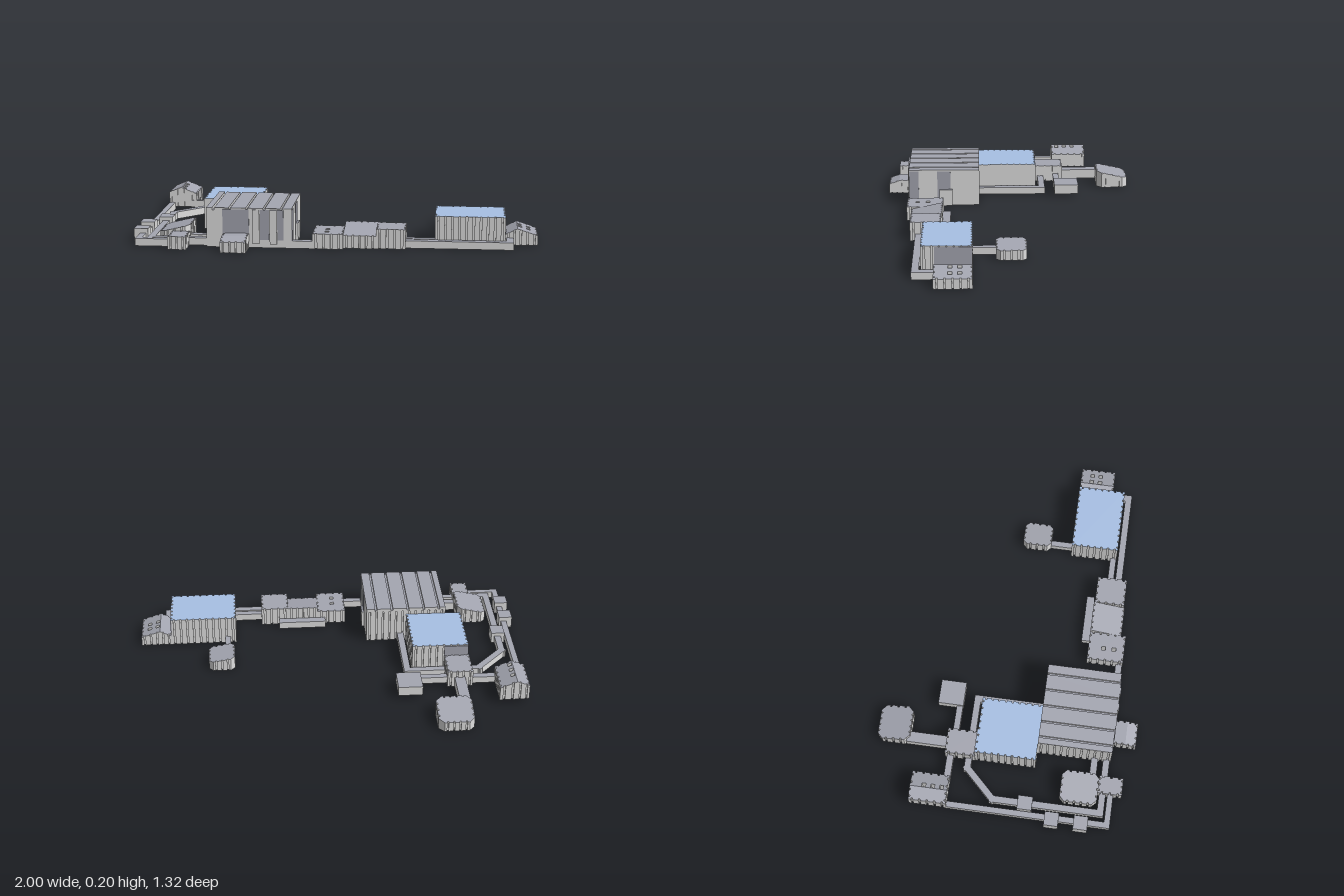
import * as THREE from 'three';

const mat = (name, color) => {
  const m = new THREE.MeshStandardMaterial({ color });
  m.name = name;
  return m;
};

export function createModel() {
  const group = new THREE.Group();
  const wall = mat('wall', 0xdfdfdf);
  const roof = mat('roof', 0xa4a6b1);
  const glass = mat('glass', 0xa8c0e4);
  const floor = mat('floor', 0xa4998b);

  // Plan outline with cut corners and vertical grooves on the chosen sides (s, e, n, w)
  function outline(x0, x1, z0, z1, cut, grooved) {
    const a = -z1, b = -z0, c = cut;
    const edges = [
      ['s', x0 + c, a, x1 - c, a], ['e', x1, a + c, x1, b - c],
      ['n', x1 - c, b, x0 + c, b], ['w', x0, b - c, x0, a + c],
    ];
    const pts = [];
    const add = (x, y) => pts.push(new THREE.Vector2(x, y));
    for (const [side, ax, ay, bx, by] of edges) {
      const len = Math.hypot(bx - ax, by - ay);
      const dx = (bx - ax) / len, dy = (by - ay) / len;
      add(ax, ay);
      if (grooved.includes(side)) {
        const n = Math.max(2, Math.round(len / 0.035)), p = len / n, depth = 0.008;
        for (let i = 0; i < n; i++) {
          const s = (i + 0.38) * p, e = (i + 0.62) * p;
          add(ax + dx * s, ay + dy * s);
          add(ax + dx * s - dy * depth, ay + dy * s + dx * depth);
          add(ax + dx * e - dy * depth, ay + dy * e + dx * depth);
          add(ax + dx * e, ay + dy * e);
        }
      }
      if (c > 0) add(bx, by);
    }
    return new THREE.Shape(pts);
  }

  // Upright block; top is a height or a rule of (x, z); shafts are open square light wells at [x, z]
  function room(name, [x0, x1, z0, z1], y0, top, { cut = 0, sides = 'senw', cap = roof, shafts = [] } = {}) {
    const shape = outline(x0, x1, z0, z1, cut, sides);
    for (const [x, z] of shafts) {
      const r = 0.01;
      shape.holes.push(new THREE.Path([[-r, -r], [-r, r], [r, r], [r, -r]].map(([u, v]) => new THREE.Vector2(x + u, v - z))));
    }
    const geo = new THREE.ExtrudeGeometry(shape, { depth: 1, bevelEnabled: false });
    geo.rotateX(-Math.PI / 2);
    const p = geo.attributes.position;
    for (let i = 0; i < p.count; i++) {
      const h = typeof top === 'function' ? top(p.getX(i), p.getZ(i)) : top;
      p.setY(i, p.getY(i) > 0.5 ? h : y0);
    }
    geo.computeVertexNormals();
    // first half of the caps is the floor, second half the roof
    const [caps, walls] = geo.groups;
    const half = caps.count / 2;
    geo.clearGroups();
    geo.addGroup(0, half, 0);
    geo.addGroup(half, half, 1);
    geo.addGroup(walls.start, walls.count, 2);
    const mesh = new THREE.Mesh(geo, [floor, cap, wall]);
    mesh.name = name;
    group.add(mesh);
  }

  // Room with a ridge along z, light wells on the east slope
  function gable(name, [x0, x1, z0, z1], y0, ridge, top, shafts) {
    room(name + 'West', [x0, ridge, z0, z1], y0, top, { sides: 'snw' });
    room(name + 'East', [ridge, x1, z0, z1], y0, top, { sides: 'sen', shafts });
  }

  // Straight passages along a path of [x, z] points
  function corridor(name, pts, width, y0, y1) {
    for (let i = 0; i + 1 < pts.length; i++) {
      const [ax, az] = pts[i], [bx, bz] = pts[i + 1];
      const geo = new THREE.BoxGeometry(Math.hypot(bx - ax, bz - az) + width * 0.98, y1 - y0, width);
      const mesh = new THREE.Mesh(geo, [wall, wall, roof, floor, wall, wall]);
      mesh.position.set((ax + bx) / 2, (y0 + y1) / 2, (az + bz) / 2);
      mesh.rotation.y = -Math.atan2(bz - az, bx - ax);
      mesh.name = name;
      group.add(mesh);
    }
  }

  // Thin painted plate
  function plate(name, [x0, x1], [y0, y1], [z0, z1], m) {
    const mesh = new THREE.Mesh(new THREE.BoxGeometry(x1 - x0, y1 - y0, z1 - z0), m);
    mesh.position.set((x0 + x1) / 2, (y0 + y1) / 2, (z0 + z1) / 2);
    mesh.name = name;
    group.add(mesh);
  }

  // Main hall with long roof beams
  room('mainHall', [-0.62, -0.20, 0.165, 0.542], 0, 0.185, { sides: 'nw' });
  [[-0.62, -0.59], [-0.58, -0.51], [-0.50, -0.425], [-0.415, -0.34], [-0.33, -0.255], [-0.245, -0.20]]
    .forEach(([a, b]) => room('roofBeam', [a, b, 0.165, 0.542], 0.18, 0.197, { sides: '' }));
  plate('hallFrontPanel', [-0.54, -0.41], [0.06, 0.19], [0.54, 0.545], roof);
  plate('hallFrontSlit', [-0.355, -0.31], [0.04, 0.19], [0.54, 0.545], roof);
  plate('hallFrontSlit', [-0.27, -0.24], [0.04, 0.19], [0.54, 0.545], roof);
  for (const x of [-0.375, -0.29]) room('hallButtress', [x - 0.017, x + 0.017, 0.53, 0.549], 0.02, 0.19, { sides: '' });
  plate('hallSidePanel', [-0.203, -0.197], [0.035, 0.19], [0.49, 0.54], roof);
  plate('hallSidePanel', [-0.203, -0.197], [0.03, 0.19], [0.32, 0.39], roof);
  room('hallSideDoor', [-0.2, -0.187, 0.31, 0.38], 0, 0.09, { sides: '' });
  // entrance in front of the hall, with a sloping end
  room('entrance', [-0.535, -0.41, 0.54, 0.605], 0, 0.072, { sides: 'ew' });
  room('entranceEnd', [-0.535, -0.41, 0.605, 0.66], 0, (x, z) => 0.072 - (z - 0.605) * 0.35, { sides: 'sew' });

  // Glass-roofed halls
  room('glassHall', [-0.70, -0.41, -0.145, 0.165], 0, 0.16, { cap: glass, sides: 'enw' });
  plate('glassHallBackPanel', [-0.70, -0.575], [0.1, 0.155], [-0.149, -0.143], roof);
  room('glassHallEast', [0.495, 0.84, 0.20, 0.445], 0, 0.152, { cap: glass });
  plate('glassHallEastPanel', [0.837, 0.843], [0.05, 0.148], [0.20, 0.38], roof);

  // Back wing
  room('backLobby', [-0.705, -0.575, -0.30, -0.145], 0.01, 0.10);
  corridor('backCorridor', [[-0.638, -0.29], [-0.638, -0.48]], 0.055, 0.015, 0.065);
  room('backRoom', [-0.665, -0.485, -0.66, -0.49], 0, (x, z) => 0.09 + (z + 0.49) * 0.22, { cut: 0.028 });
  corridor('storeCorridor', [[-0.58, -0.263], [-0.43, -0.263]], 0.032, 0.02, 0.055);
  room('store', [-0.44, -0.315, -0.375, -0.245], 0.02, 0.07, { sides: '' });
  corridor('leftBackCorridor', [[-0.83, -0.272], [-0.70, -0.272]], 0.035, 0.02, 0.055);
  gable('farRoom', [-0.97, -0.82, -0.445, -0.255], 0.02, -0.905, (x) => 0.127 - Math.abs(x + 0.905) * 0.4,
    [[-0.892, -0.375], [-0.892, -0.33], [-0.892, -0.285]]);

  // Ring passage around the glass hall
  corridor('ringCorridor', [[-0.382, 0.16], [-0.382, -0.178], [-0.755, -0.178], [-0.898, -0.03], [-0.898, 0.52], [-0.62, 0.52]],
    0.034, 0.005, 0.042);
  room('ringJunction', [-0.935, -0.865, 0.10, 0.175], 0, 0.06, { sides: '' });
  // outer passage along the left edge
  corridor('outerCorridor', [[-0.955, -0.25], [-0.955, 0.56], [-0.80, 0.56]], 0.03, 0.005, 0.042);
  for (const z of [0.28, 0.428]) room('outerJunction', [-1.0, -0.93, z - 0.036, z + 0.036], 0, 0.065, { sides: '' });

  // Left rooms
  room('leftRoom', [-0.865, -0.71, 0.305, 0.495], 0, (x) => 0.058 + (x + 0.865) * 0.24, { cut: 0.025 });
  room('leftPorch', [-0.80, -0.71, 0.495, 0.617], 0, 0.065);
  corridor('leftRoomCorridor', [[-0.70, 0.46], [-0.63, 0.46]], 0.035, 0, 0.045);

  // Centre row
  corridor('centreCorridor', [[-0.20, 0.525], [-0.11, 0.525]], 0.034, 0, 0.037);
  room('centreRoomWest', [-0.10, 0.05, 0.355, 0.544], 0, 0.075, { shafts: [[-0.033, 0.435], [-0.033, 0.49]] });
  room('centreRoom', [0.05, 0.21, 0.355, 0.52], 0, (x, z) => 0.10 - (z - 0.355) * 0.22, { sides: 'sn' });
  room('centreRoomEast', [0.21, 0.355, 0.36, 0.515], 0, 0.098);
  room('rearPassage', [0.01, 0.26, 0.315, 0.356], 0, 0.037, { sides: '' });

  // East wing
  corridor('eastShortCorridor', [[0.36, 0.428], [0.49, 0.428]], 0.032, 0, 0.037);
  corridor('eastLongCorridor', [[0.36, 0.471], [0.862, 0.471], [0.862, 0.38]], 0.035, 0, 0.037);
  gable('endRoom', [0.84, 1.0, 0.20, 0.383], 0, 0.9, (x) => 0.083 - Math.abs(x - 0.9) * (x < 0.9 ? 0.5 : 0.33),
    [[0.914, 0.26], [0.957, 0.26], [0.914, 0.305], [0.957, 0.305]]);
  corridor('eastBackCorridor', [[0.54, 0.08], [0.54, 0.19]], 0.03, 0, 0.037);
  room('eastBackRoom', [0.505, 0.64, -0.063, 0.088], 0, (x) => 0.072 - (x - 0.505) * 0.16, { cut: 0.022 });

  return group;
}
